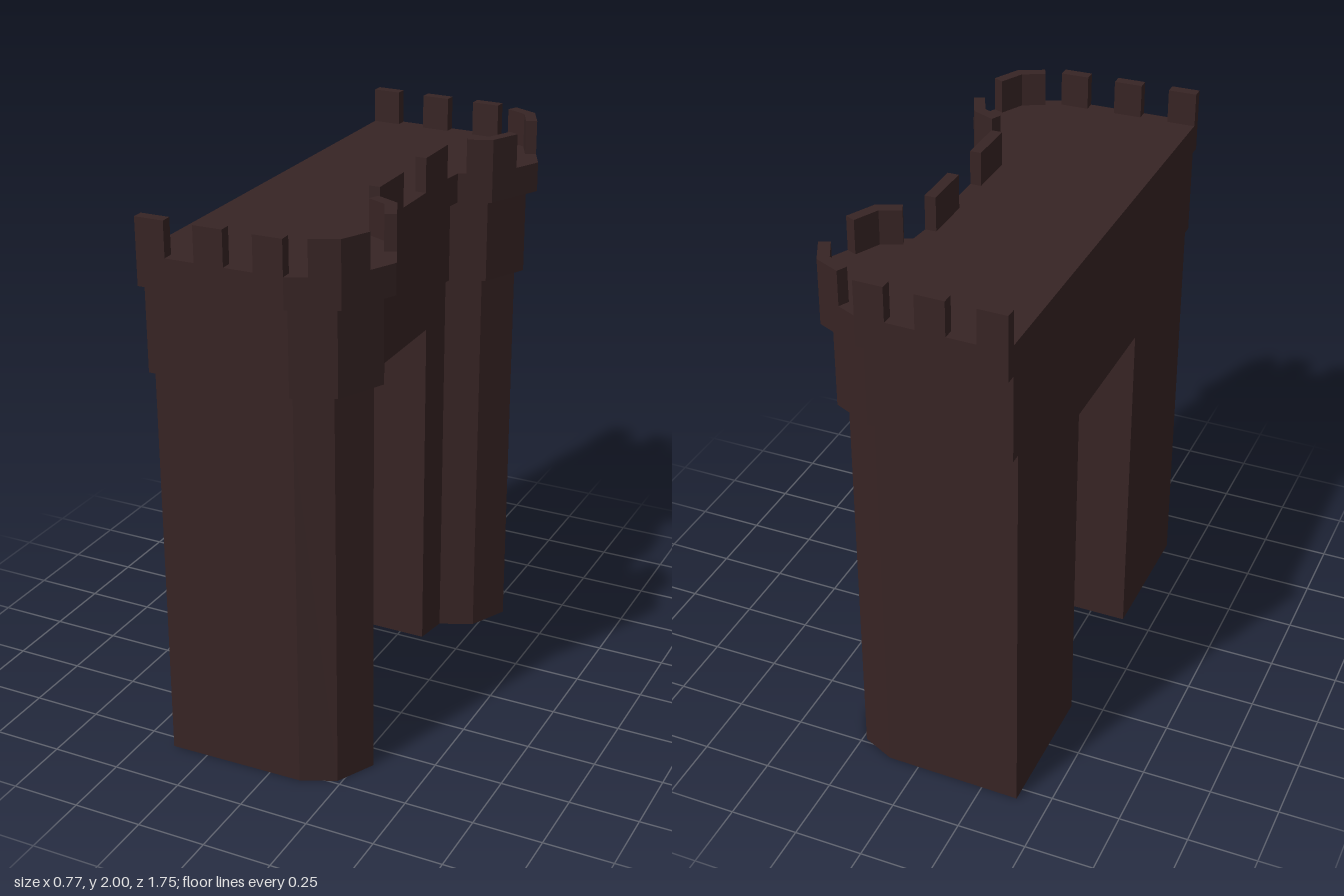
import * as THREE from 'three';

const BACK = -0.385;

// Half outlines [x, z], from the back outer corner round the turret to the gate wall
const SHAFT = [[BACK, 0.8], [0.115, 0.79], [0.235, 0.735], [0.305, 0.595], [0.235, 0.452], [0.115, 0.397], [0.095, 0.275]];
const COLLAR = [[BACK, 0.838], [0.122, 0.826], [0.262, 0.762], [0.34, 0.595], [0.262, 0.425], [0.138, 0.374], [0.13, 0.275]];
const CROWN = [[BACK, 0.877], [0.13, 0.865], [0.29, 0.79], [0.383, 0.595], [0.29, 0.395], [0.178, 0.345], [0.17, 0.272]];

// Upright prism over a ground outline [x, z], from y0 to y1
function prism(points, y0, y1) {
  const shape = new THREE.Shape(points.map(([x, z]) => new THREE.Vector2(x, -z)));
  const geo = new THREE.ExtrudeGeometry(shape, { depth: y1 - y0, bevelEnabled: false });
  geo.rotateX(-Math.PI / 2);
  geo.translate(0, y0, 0);
  return geo;
}

const flip = (points) => points.map(([x, z]) => [x, -z]).reverse();
const mirrored = (half) => [...half, ...flip(half)];

// Band of thickness t lying inside an outer polyline, with mitred corners
function band(outer, t) {
  const normals = outer.slice(1).map(([x, z], i) => {
    const dx = x - outer[i][0], dz = z - outer[i][1], l = Math.hypot(dx, dz);
    return [dz / l, -dx / l];
  });
  const inner = outer.map(([x, z], i) => {
    const a = normals[Math.max(i - 1, 0)], b = normals[Math.min(i, normals.length - 1)];
    const k = t / (1 + a[0] * b[0] + a[1] * b[1]);
    return [x + (a[0] + b[0]) * k, z + (a[1] + b[1]) * k];
  });
  return [...outer, ...inner.reverse()];
}

// Point on the crown outline, a fraction f along edge i
function along(i, f) {
  const [a, b] = [CROWN[i], CROWN[i + 1]];
  return [a[0] + (b[0] - a[0]) * f, a[1] + (b[1] - a[1]) * f];
}

export function createModel() {
  const group = new THREE.Group();
  const stone = new THREE.MeshStandardMaterial({ color: 0x372424, flatShading: true });
  stone.name = 'dark stone';

  const add = (name, points, y0, y1) => {
    const mesh = new THREE.Mesh(prism(points, y0, y1), stone);
    mesh.name = name;
    group.add(mesh);
  };

  // Two legs either side of the gateway
  const leg = [...SHAFT, [BACK, 0.275]];
  add('leftLeg', leg, 0, 1.295);
  add('rightLeg', flip(leg), 0, 1.295);

  // Lintel level, then two stepped courses with a flat deck
  add('lintel', mirrored(SHAFT), 1.295, 1.46);
  add('collar', mirrored(COLLAR), 1.46, 1.77);
  add('crown', mirrored(CROWN), 1.77, 1.877);

  // Merlons: three per side, two wrapped round each turret, one per half of the gate wall
  const merlons = [
    [along(0, 0), along(0, 0.2)],
    [along(0, 0.4), along(0, 0.6)],
    [along(0, 0.8), along(0, 1)],
    [along(1, 0.43), CROWN[2], along(2, 0.52)],
    [along(3, 0.48), CROWN[4], along(4, 0.75)],
    [[0.17, 0.272], [0.17, 0.09]],
  ];
  merlons.forEach((path, i) => {
    const outline = band(path, 0.04);
    add(`leftMerlon${i + 1}`, outline, 1.877, 2);
    add(`rightMerlon${i + 1}`, flip(outline), 1.877, 2);
  });

  return group;
}
